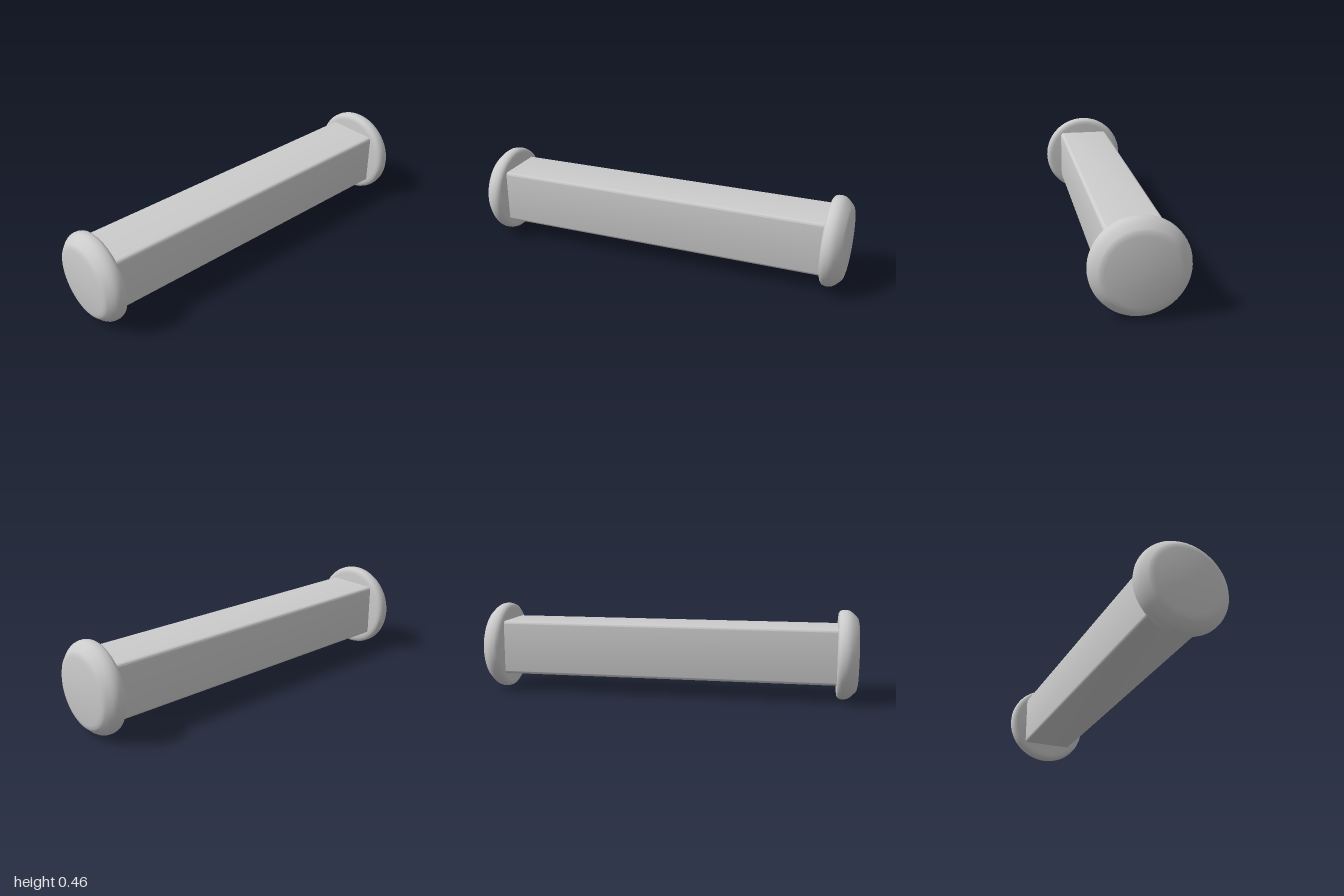
import * as THREE from 'three';
import { toCreasedNormals } from 'three/addons/utils/BufferGeometryUtils.js';

const CENTER_Y = 0.233;

export function createModel() {
  const group = new THREE.Group();
  const material = new THREE.MeshStandardMaterial({ color: 0xcccccc });

  // Square bar with small rounded long edges
  const h = 0.144, r = 0.018;
  const section = new THREE.Shape();
  [[1, 1], [-1, 1], [-1, -1], [1, -1]].forEach(([sx, sy], i) => {
    const start = i * Math.PI / 2;
    section.absarc(sx * (h - r), sy * (h - r), r, start, start + Math.PI / 2, false);
  });
  section.closePath();
  const barGeometry = new THREE.ExtrudeGeometry(section, { depth: 1.8, bevelEnabled: false, curveSegments: 5 });
  barGeometry.translate(0, 0, -0.9);
  const bar = new THREE.Mesh(toCreasedNormals(barGeometry, 0.6), material);
  bar.name = 'squareBar';
  bar.position.y = 0.237;
  group.add(bar);

  // Round end cap: flat inner face, rounded rim, chamfer, slightly domed outer face
  const profile = [
    [0, 0.887], [0.2, 0.887], [0.216, 0.889], [0.227, 0.897], [0.232, 0.912], [0.232, 0.93],
    [0.228, 0.945], [0.218, 0.96], [0.194, 0.984], [0.184, 0.99], [0.165, 0.994], [0, 1],
  ].map(([x, z]) => new THREE.Vector2(x, z));
  const capGeometry = new THREE.LatheGeometry(profile, 64);
  capGeometry.rotateX(Math.PI / 2);
  const smoothCap = toCreasedNormals(capGeometry, 0.7);

  for (const [name, turn] of [['frontCap', 0], ['backCap', Math.PI]]) {
    const cap = new THREE.Mesh(smoothCap, material);
    cap.name = name;
    cap.position.y = CENTER_Y;
    cap.rotation.y = turn;
    group.add(cap);
  }
  return group;
}
